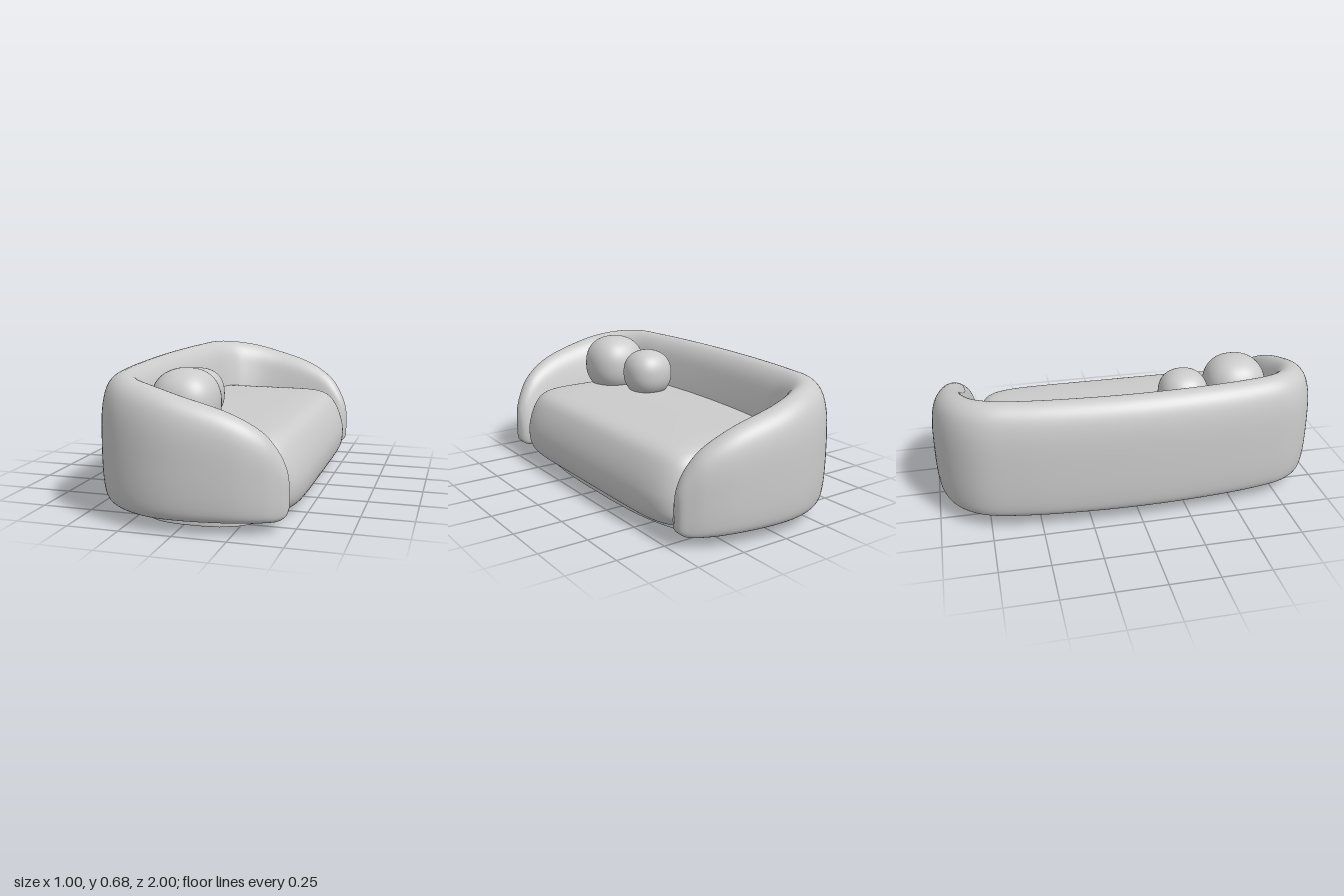
import * as THREE from 'three';

const material = new THREE.MeshStandardMaterial({ color: 0xcccccc });

// Skins a list of closed rings and closes both ends with a fan
function loft(rings) {
  const n = rings[0].length, last = rings.length - 1;
  const points = rings.flat(), index = [];
  for (let i = 0; i < last; i++) {
    for (let j = 0; j < n; j++) {
      const a = i * n + j, b = i * n + (j + 1) % n;
      index.push(a, b, a + n, b, b + n, a + n);
    }
  }
  for (const r of [0, last]) {
    const centre = new THREE.Vector3();
    rings[r].forEach(p => centre.addScaledVector(p, 1 / n));
    const c = points.push(centre) - 1;
    for (let j = 0; j < n; j++) {
      const a = r * n + j, b = r * n + (j + 1) % n;
      if (r === 0) index.push(c, b, a);
      else index.push(c, a, b);
    }
  }
  const geometry = new THREE.BufferGeometry().setFromPoints(points);
  geometry.setIndex(index);
  geometry.computeVertexNormals();
  return geometry;
}

// Unit superellipse point: n = 2 is a circle, larger n is squarer
function superellipse(angle, n) {
  const f = v => Math.sign(v) * Math.abs(v) ** (2 / n);
  return [f(Math.sin(angle)), f(Math.cos(angle))];
}

// Wraparound back and arms: a soft section swept round a U, lower and thinner at the arm tips
function shellGeometry() {
  // outer x, outer z, inner x, inner z, top y, bottom y, from arm tip to middle of the back
  const stations = [
    [0.476, 0.80, 0.476, 0.79, 0.22, 0.11],
    [0.468, 0.83, 0.46, 0.757, 0.28, 0.075],
    [0.44, 0.86, 0.43, 0.74, 0.35, 0.055],
    [0.38, 0.905, 0.36, 0.735, 0.44, 0.05],
    [0.25, 0.96, 0.22, 0.745, 0.525, 0.05],
    [0, 1, 0, 0.745, 0.60, 0.05],
    [-0.17, 0.98, -0.09, 0.725, 0.635, 0.05],
    [-0.31, 0.915, -0.165, 0.68, 0.655, 0.055],
    [-0.41, 0.80, -0.20, 0.60, 0.665, 0.06],
    [-0.46, 0.60, -0.215, 0.45, 0.665, 0.06],
    [-0.49, 0.30, -0.23, 0.22, 0.665, 0.06],
    [-0.5, 0, -0.235, 0, 0.665, 0.06],
  ];
  const mirrored = stations.slice(0, -1).reverse()
    .map(([ox, oz, ix, iz, t, b]) => [ox, -oz, ix, -iz, t, b]);
  const all = [...stations, ...mirrored];
  const outer = new THREE.CatmullRomCurve3(all.map(s => new THREE.Vector3(s[0], s[4], s[1])));
  const inner = new THREE.CatmullRomCurve3(all.map(s => new THREE.Vector3(s[2], s[5], s[3])));

  // Section: u runs from outside to inside, v from bottom to top
  const section = new THREE.CatmullRomCurve3([
    [0, 0.45], [0.025, 0.75], [0.11, 0.9], [0.26, 0.98], [0.45, 1], [0.6, 0.965],
    [0.73, 0.88], [0.83, 0.73], [0.92, 0.55], [0.99, 0.35], [0.99, 0.15],
    [0.93, 0.04], [0.8, 0], [0.5, 0], [0.2, 0.01], [0.07, 0.06], [0.02, 0.17],
  ].map(([u, v]) => new THREE.Vector3(u, v, 0)), true).getPoints(64).slice(0, -1);

  const rings = [], steps = 132;
  for (let i = 0; i <= steps; i++) {
    const o = outer.getPoint(i / steps), n = inner.getPoint(i / steps);
    rings.push(section.map(p => new THREE.Vector3(
      THREE.MathUtils.lerp(o.x, n.x, p.x),
      THREE.MathUtils.lerp(n.y, o.y, p.y),
      THREE.MathUtils.lerp(o.z, n.z, p.x))));
  }
  return loft(rings);
}

// Plump seat block: rounded rectangles stacked up a bulging front profile
function seatGeometry() {
  const back = -0.32;
  // front x, height, half length
  const profile = new THREE.CatmullRomCurve3([
    [0.38, 0.04, 0.68], [0.455, 0.05, 0.72], [0.488, 0.09, 0.74], [0.5, 0.17, 0.747],
    [0.485, 0.25, 0.747], [0.45, 0.33, 0.74], [0.42, 0.37, 0.72], [0.38, 0.393, 0.69],
    [0.3, 0.406, 0.62], [0.15, 0.412, 0.45], [-0.2, 0.414, 0.1],
  ].map(p => new THREE.Vector3(...p)));
  const rings = profile.getPoints(50).map(({ x, y, z }) => {
    const ring = [], mid = (x + back) / 2, half = (x - back) / 2;
    for (let j = 0; j < 96; j++) {
      const [sx, sz] = superellipse(j / 96 * Math.PI * 2, 7);
      ring.push(new THREE.Vector3(mid + half * sx, y, z * sz));
    }
    return ring;
  });
  return loft(rings);
}

// Low oval plinth with a slightly eased edge
function baseGeometry() {
  const bevel = 0.006, outline = [];
  for (let j = 0; j < 96; j++) {
    const [sx, sz] = superellipse(j / 96 * Math.PI * 2, 3);
    outline.push(new THREE.Vector2(0.0375 + (0.3825 - bevel) * sx, (0.84 - bevel) * sz));
  }
  const geometry = new THREE.ExtrudeGeometry(new THREE.Shape(outline), {
    depth: 0.045 - 2 * bevel, bevelSize: bevel, bevelThickness: bevel, bevelSegments: 3,
  });
  return geometry.rotateX(-Math.PI / 2).translate(0, bevel, 0);
}

// Ball cushion: a sphere pushed slightly towards a cube
function cushionGeometry(radius) {
  const geometry = new THREE.SphereGeometry(1, 48, 32);
  const position = geometry.attributes.position, v = new THREE.Vector3(), n = 2.3;
  for (let i = 0; i < position.count; i++) {
    v.fromBufferAttribute(position, i);
    const size = (Math.abs(v.x) ** n + Math.abs(v.y) ** n + Math.abs(v.z) ** n) ** (1 / n);
    v.multiplyScalar(radius / size);
    position.setXYZ(i, v.x, v.y, v.z);
  }
  geometry.computeVertexNormals();
  return geometry;
}

export function createModel() {
  const sofa = new THREE.Group();
  sofa.name = 'sofa';
  const add = (name, geometry, x = 0, y = 0, z = 0) => {
    const mesh = new THREE.Mesh(geometry, material);
    mesh.name = name;
    mesh.position.set(x, y, z);
    sofa.add(mesh);
  };
  add('backAndArms', shellGeometry());
  add('seat', seatGeometry());
  add('base', baseGeometry());
  add('largeCushion', cushionGeometry(0.163), -0.07, 0.515, 0.59);
  add('smallCushion', cushionGeometry(0.13), -0.11, 0.508, 0.3);
  return sofa;
}
